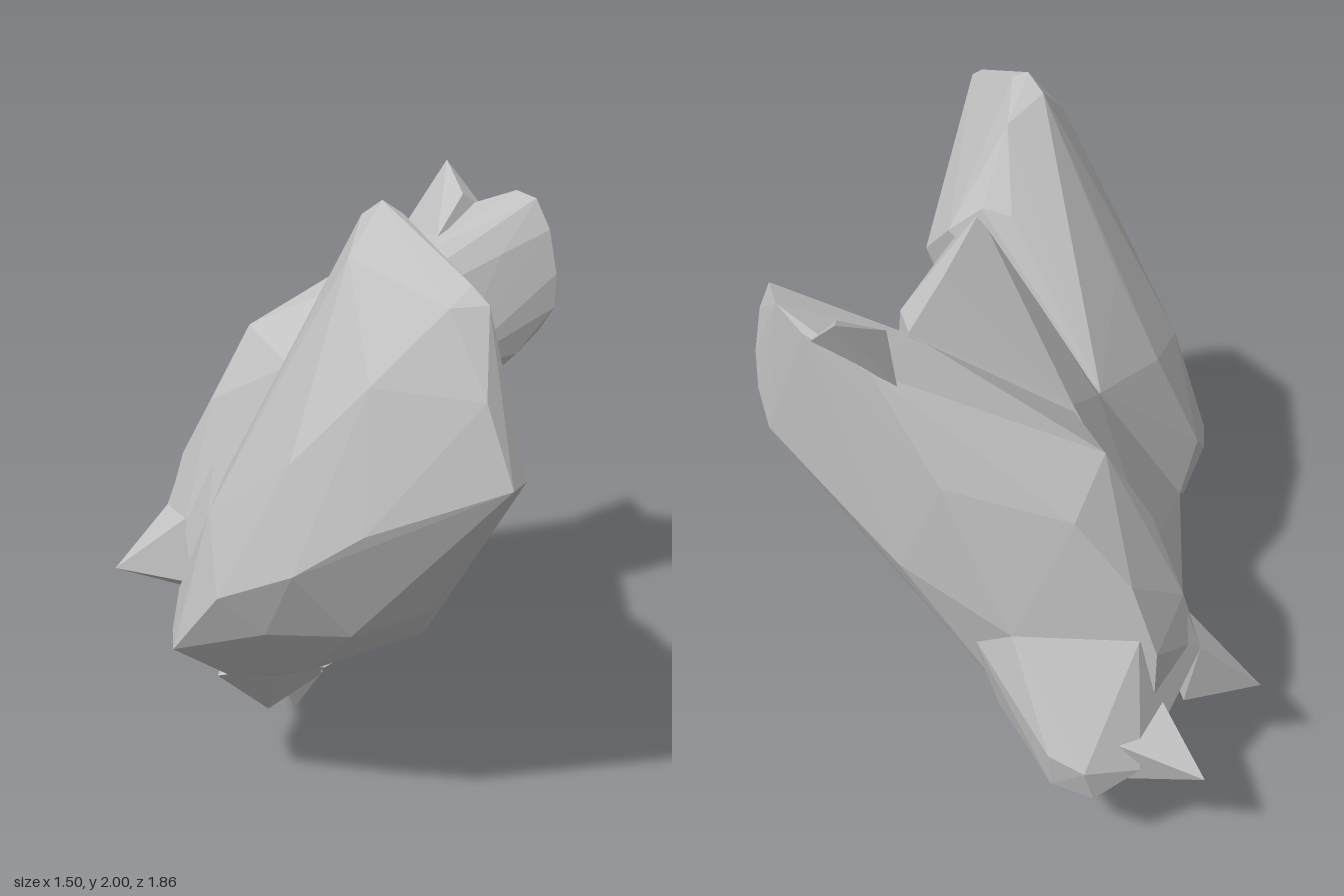
import * as THREE from 'three';
import { ConvexGeometry } from 'three/addons/geometries/ConvexGeometry.js';

const stone = new THREE.MeshStandardMaterial({ color: 0xc2c2c2 });
stone.name = 'grey stone';

// One faceted chunk of rock wrapped around a few corner points
function chunk(name, corners) {
  const mesh = new THREE.Mesh(
    new ConvexGeometry(corners.map((p) => new THREE.Vector3(...p))), stone);
  mesh.name = name;
  return mesh;
}

export function createModel() {
  const model = new THREE.Group();
  model.name = 'rock';

  // Leaning rounded slab at the front, its inner wall sloping down to the bridge
  model.add(chunk('frontLobe', [
    [0.28, 2.0, 0.45], [0.34, 1.97, 0.47], [0.22, 1.95, 0.42], [0.3, 1.88, 0.31],
    [0.13, 1.74, 0.42], [0.2, 1.86, 0.54], [0.24, 1.64, 0.17], [0.34, 1.65, 0.17],
    [-0.05, 1.4, 0.35], [-0.06, 1.37, 0.52], [-0.2, 1.1, 0.34], [-0.2, 1.08, 0.56],
    [-0.33, 0.75, 0.42], [-0.33, 0.66, 0.52], [-0.3, 0.66, 0.64], [-0.31, 0.62, 0.28],
    [-0.29, 0.52, 0.42], [-0.2, 0.46, 0.4], [-0.15, 0.5, 0.5], [0, 0.52, 0.5], [0.1, 0.6, 0.6],
    [0.36, 0.65, 0.45], [0.44, 0.75, 0.58], [0.46, 0.88, 0.7], [0.25, 0.82, 0.77],
    [0, 0.8, 0.76], [-0.13, 0.92, 0.79], [0.1, 1.05, 0.88], [0.3, 1.2, 0.91],
    [0.46, 1.08, 0.84], [0.3, 1.6, 0.84], [0.08, 1.35, 0.8],
    [0.55, 1.86, 0.74], [0.6, 1.82, 0.78], [0.5, 1.82, 0.82], [0.61, 1.6, 0.9],
    [0.69, 1.37, 0.93], [0.72, 1.37, 0.86], [0.58, 1.42, 0.27], [0.46, 1.55, 0.18],
    [0.57, 1.18, 0.74], [0.47, 1.1, 0.3], [-0.1, 1.14, 0.03], [0.2, 0.8, 0.2]
  ]));

  // Bridge joining the two lobes, its ridge close to the right side
  model.add(chunk('waist', [
    [0.36, 1.62, 0.2], [0.46, 1.5, 0.2], [0.34, 1.585, 0], [0.32, 1.61, -0.2], [0.4, 1.56, -0.35],
    [0.3, 1.6, -0.52], [0.47, 1.3, -0.05], [0.56, 1.35, 0.25], [0.42, 1.15, -0.42], [0.33, 0.92, 0],
    [0.36, 0.68, 0.38], [0.27, 0.85, -0.48], [0.14, 0.55, -0.1], [0.12, 0.5, 0.4],
    [-0.1, 0.35, 0], [-0.2, 0.37, 0.2], [-0.2, 0.33, -0.3], [-0.31, 0.62, 0.28],
    [-0.49, 0.6, -0.33], [-0.38, 0.85, -0.33], [-0.1, 1.15, 0], [-0.1, 1.27, -0.25]
  ]));

  // Leaning slab at the back with a flat rear face
  model.add(chunk('backLobe', [
    [0.67, 1.75, -0.62], [0.6, 1.75, -0.72], [0.5, 1.7, -0.77], [0.3, 1.63, -0.79],
    [0.72, 1.65, -0.6], [0.75, 1.5, -0.6], [0.75, 1.38, -0.61], [0.7, 1.28, -0.66],
    [0.63, 1.22, -0.57], [0.57, 1.58, -0.53], [0.3, 1.58, -0.5], [0.42, 1.2, -0.43],
    [0.45, 1.15, -0.76], [0.1, 1.3, -0.81], [0.25, 0.98, -0.79], [-0.06, 1.37, -0.6],
    [-0.28, 1.3, -0.5], [-0.26, 1.2, -0.72], [-0.4, 1.05, -0.42], [-0.42, 0.98, -0.68],
    [-0.52, 0.82, -0.47], [-0.5, 0.75, -0.68], [-0.1, 0.82, -0.81], [0.08, 0.76, -0.75],
    [0.22, 0.82, -0.5], [-0.04, 0.5, -0.72], [-0.1, 1.25, -0.25], [-0.38, 0.85, -0.33],
    [-0.57, 0.63, -0.45], [-0.49, 0.6, -0.33], [-0.5, 0.5, -0.7]
  ]));

  // Swollen foot of the back slab, running into the bridge
  model.add(chunk('backFoot', [
    [-0.25, 0.5, -0.93], [-0.36, 0.46, -0.93], [-0.25, 0.37, -0.91], [-0.38, 0.34, -0.9],
    [-0.5, 0.42, -0.82], [-0.38, 0.2, -0.65], [-0.45, 0.27, -0.55], [-0.25, 0.27, -0.5],
    [-0.2, 0.33, -0.3], [-0.08, 0.34, -0.72], [-0.02, 0.45, -0.72], [0.07, 0.76, -0.74],
    [-0.1, 0.82, -0.81], [-0.45, 0.8, -0.7], [-0.52, 0.8, -0.48], [-0.58, 0.62, -0.46],
    [-0.52, 0.5, -0.68], [-0.5, 0.36, -0.38], [0.15, 0.65, -0.3], [0.2, 0.8, -0.48], [-0.48, 0.6, -0.32]
  ]));

  // Wedge hanging below the bridge
  model.add(chunk('keel', [
    [-0.22, 0.44, 0.4], [-0.1, 0.2, 0.18], [0.03, 0.19, -0.08], [-0.1, 0.16, -0.07],
    [0.12, 0.48, 0.2], [0.13, 0.52, -0.15], [-0.24, 0.42, -0.1], [0, 0.5, 0.42],
    [-0.02, 0.28, -0.19], [0.2, 0.66, 0.2], [0.18, 0.68, -0.25], [-0.1, 0.38, -0.24]
  ]));

  // Sharp splinters: the tip comes first
  const spikes = {
    topSpike: [[0.35, 1.81, -0.87], [0.22, 1.6, -0.79], [0.48, 1.68, -0.77], [0.42, 1.73, -0.72], [0.35, 1.62, -0.56]],
    sideSpike: [[-0.75, 0.41, -0.34], [-0.48, 0.64, -0.31], [-0.52, 0.33, -0.4], [-0.58, 0.62, -0.46], [-0.42, 0.4, -0.28]],
    rearSpike: [[-0.69, 0.42, -0.8], [-0.51, 0.57, -0.66], [-0.45, 0.35, -0.8], [-0.42, 0.52, -0.84]],
    bottomSpike: [[-0.07, 0, -0.17], [-0.12, 0.2, -0.06], [0.04, 0.2, -0.09], [-0.03, 0.3, -0.2]]
  };
  for (const [name, corners] of Object.entries(spikes)) model.add(chunk(name, corners));

  return model;
}
